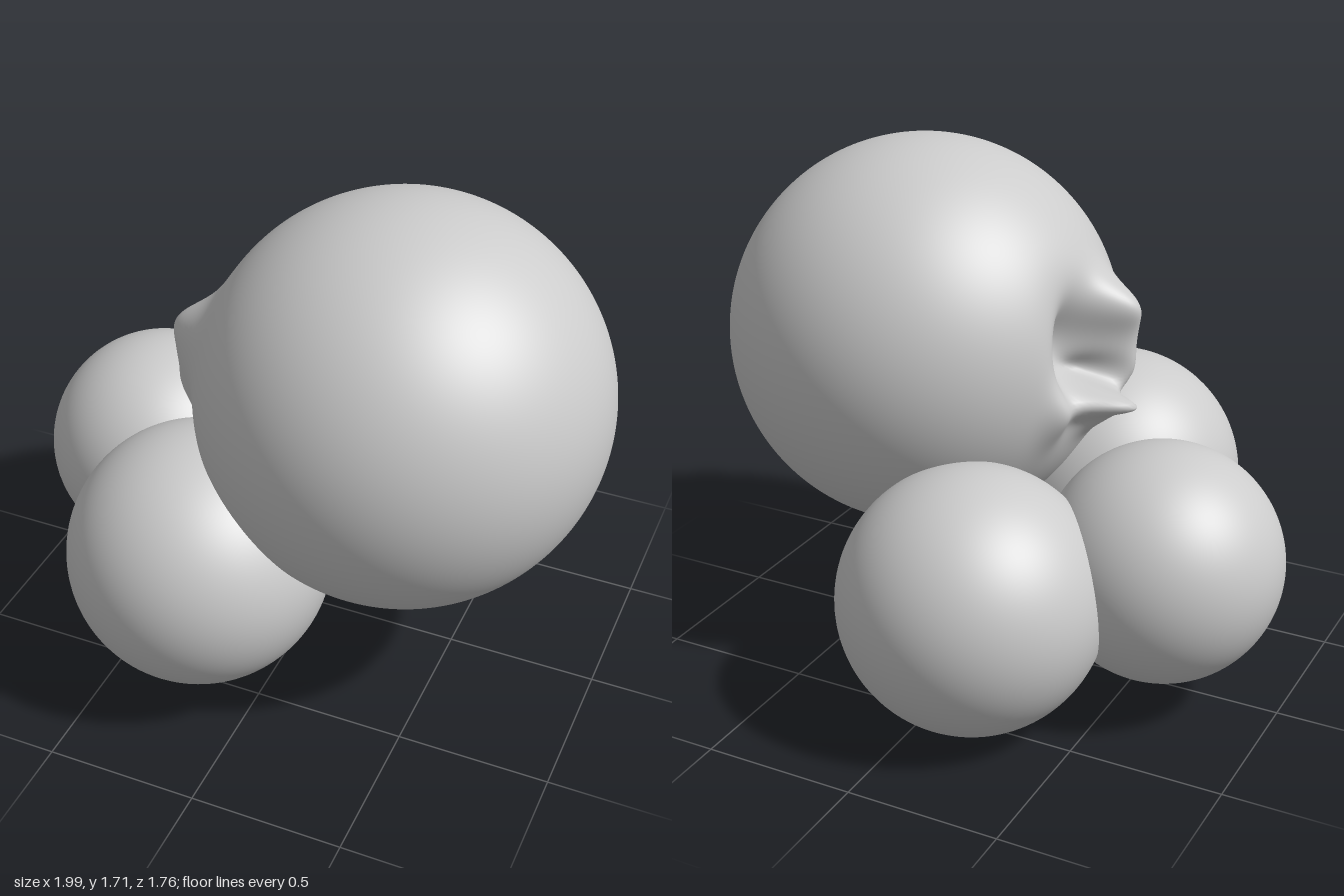
import * as THREE from 'three';

const material = new THREE.MeshStandardMaterial({ color: 0xcccccc });

function ball(name, r, x, y, z, geometry = new THREE.SphereGeometry(r, 96, 64)) {
  const mesh = new THREE.Mesh(geometry, material);
  mesh.name = name;
  mesh.position.set(x, y, z);
  return mesh;
}

// Soft bumps and hollows on the -x side: [y, z, spreadY, spreadZ, outward amount]
const folds = [
  [0.05, -0.09, 0.16, 0.11, -0.15],  // hollow
  [-0.05, 0.0, 0.05, 0.06, -0.07],   // deep end of the hollow
  [0.17, 0.09, 0.08, 0.09, 0.09],    // raised rim, top
  [0.07, 0.12, 0.09, 0.09, 0.06],    // raised rim, middle
  [-0.06, 0.1, 0.09, 0.08, 0.07],    // raised rim, bottom
  [-0.11, -0.07, 0.045, 0.08, 0.19], // lower lip
  [-0.17, -0.02, 0.06, 0.08, 0.07],  // lip root
  [-0.12, -0.23, 0.09, 0.05, 0.04],  // rear rim
];

// Large sphere with an ear-like folded hollow
function foldedSphere(r) {
  const g = new THREE.SphereGeometry(r, 288, 176);
  g.rotateY(Math.PI); // keeps the seam away from the folds
  const p = g.attributes.position;
  for (let i = 0; i < p.count; i++) {
    const x = p.getX(i), y = p.getY(i), z = p.getZ(i);
    if (x > 0) continue;
    let d = 0;
    for (const [cy, cz, sy, sz, a] of folds) {
      d += a * Math.exp(-(((y - cy) / sy) ** 2) - ((z - cz) / sz) ** 2);
    }
    p.setX(i, x - d);
  }
  g.computeVertexNormals();
  return g;
}

export function createModel() {
  const group = new THREE.Group();
  group.name = 'sphereCluster';
  group.add(
    ball('largeSphere', 0.652, 0.34, 1.055, 0.12, foldedSphere(0.652)),
    ball('frontSphere', 0.428, -0.218, 0.513, 0.452),
    ball('backSphere', 0.428, -0.135, 0.428, -0.457),
    ball('sideSphere', 0.387, -0.613, 0.492, -0.068),
  );
  return group;
}
